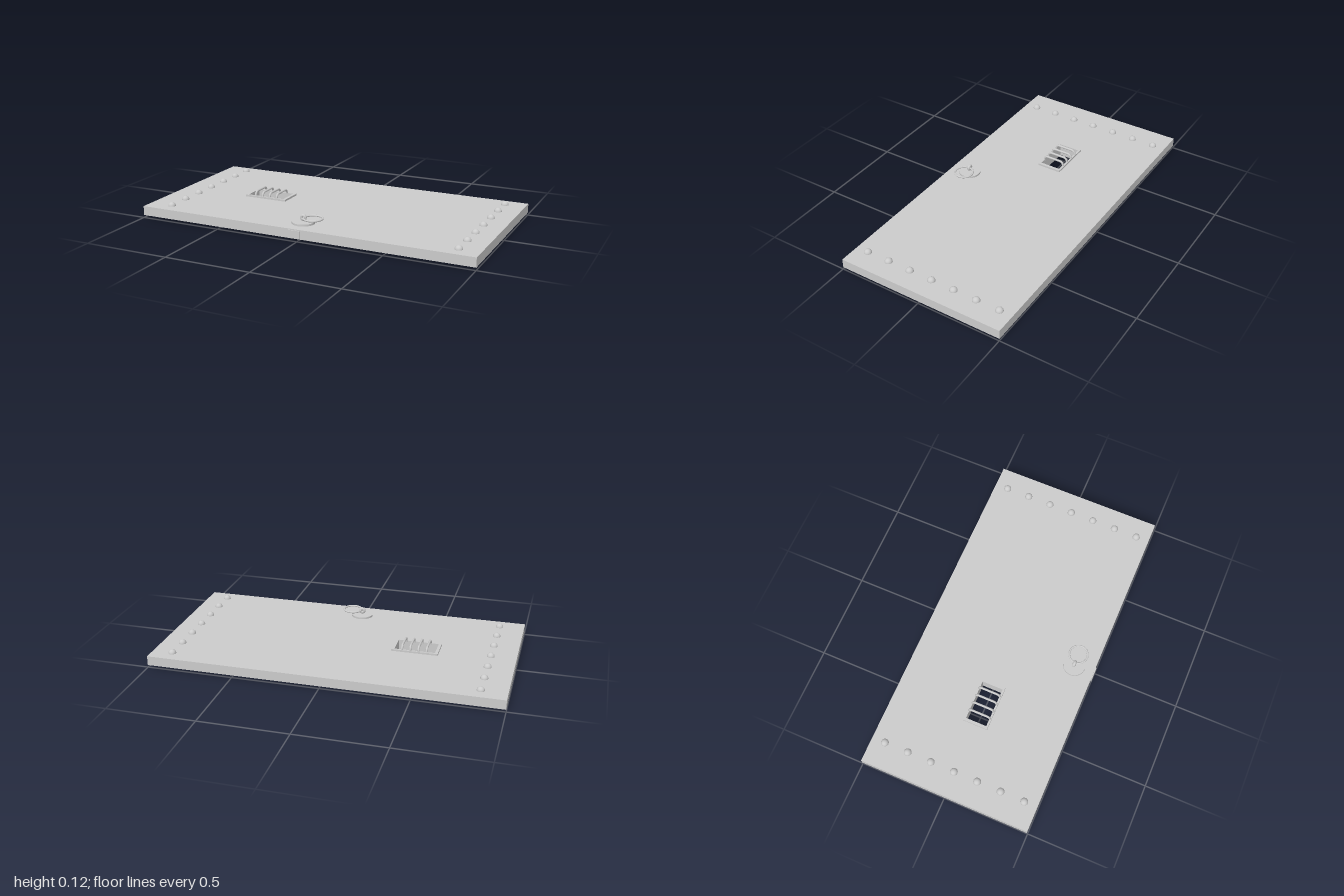
import * as THREE from 'three';

const material = new THREE.MeshStandardMaterial({ color: 0xcccccc });

function add(parent, name, geometry, x = 0, y = 0, z = 0) {
  const mesh = new THREE.Mesh(geometry, material);
  mesh.name = name;
  mesh.position.set(x, y, z);
  parent.add(mesh);
  return mesh;
}

function rectangle(Type, w, d, cx = 0, cy = 0) {
  return new Type([
    new THREE.Vector2(cx - w / 2, cy - d / 2),
    new THREE.Vector2(cx + w / 2, cy - d / 2),
    new THREE.Vector2(cx + w / 2, cy + d / 2),
    new THREE.Vector2(cx - w / 2, cy + d / 2),
  ]);
}

// Horizontal slab with a rectangular opening, rising from y = 0
function piercedSlab(w, d, h, holeW, holeD, holeX = 0) {
  const shape = rectangle(THREE.Shape, w, d);
  shape.holes.push(rectangle(THREE.Path, holeW, holeD, holeX));
  return new THREE.ExtrudeGeometry(shape, { depth: h, bevelEnabled: false }).rotateX(-Math.PI / 2);
}

export function createModel() {
  const door = new THREE.Group();
  door.name = 'door';
  const zMid = -0.0025, top = 0.068, windowX = -0.435;

  // Door panel lying flat
  add(door, 'panel', piercedSlab(2, 0.9985, 0.054, 0.25, 0.135, windowX), 0, 0.014, zMid);

  // Barred window: frame passes through the panel
  const barredWindow = new THREE.Group();
  barredWindow.name = 'barredWindow';
  barredWindow.position.set(windowX, 0, zMid);
  door.add(barredWindow);
  add(barredWindow, 'windowFrame', piercedSlab(0.266, 0.146, 0.079, 0.232, 0.123));

  // Bars bowed up over the opening
  const v = (y, z) => new THREE.Vector3(0, y, z);
  const path = new THREE.CurvePath();
  path.add(new THREE.LineCurve3(v(0.072, 0.064), v(0.079, 0.064)));
  path.add(new THREE.CubicBezierCurve3(v(0.079, 0.064), v(0.092, 0.062), v(0.102, 0.056), v(0.102, 0.04)));
  path.add(new THREE.LineCurve3(v(0.102, 0.04), v(0.102, -0.04)));
  path.add(new THREE.CubicBezierCurve3(v(0.102, -0.04), v(0.102, -0.056), v(0.092, -0.062), v(0.079, -0.064)));
  path.add(new THREE.LineCurve3(v(0.079, -0.064), v(0.072, -0.064)));
  const barGeometry = new THREE.TubeGeometry(path, 48, 0.0065, 10);
  for (let i = 0; i < 4; i++) add(barredWindow, 'windowBar', barGeometry, (i - 1.5) * 0.047 + 0.002);

  // Rows of domed rivets along both ends
  const rivetGeometry = new THREE.SphereGeometry(0.022, 20, 8, 0, Math.PI * 2, 0, Math.PI / 2);
  for (const x of [-0.856, 0.881]) {
    for (let i = -3; i <= 3; i++) add(door, 'rivet', rivetGeometry, x, top, i * 0.1405 + zMid);
  }

  // Ring pull: round plate, eye and loose ring
  const handle = new THREE.Group();
  handle.name = 'ringHandle';
  handle.position.set(-0.021, 0, 0.379);
  door.add(handle);
  add(handle, 'handlePlate', new THREE.CylinderGeometry(0.064, 0.064, 0.013, 40), 0, 0.0725, 0);
  add(handle, 'handleEye', new THREE.TorusGeometry(0.011, 0.009, 12, 24), 0, 0.1, 0);
  add(handle, 'handleRing', new THREE.TorusGeometry(0.053, 0.0055, 12, 40).rotateX(Math.PI / 2), 0.059, 0.102, 0);

  // Latch plate on the edge beside the handle
  add(door, 'latchPlate', new THREE.BoxGeometry(0.075, 0.042, 0.012), -0.022, 0.041, 0.496);

  return door;
}
